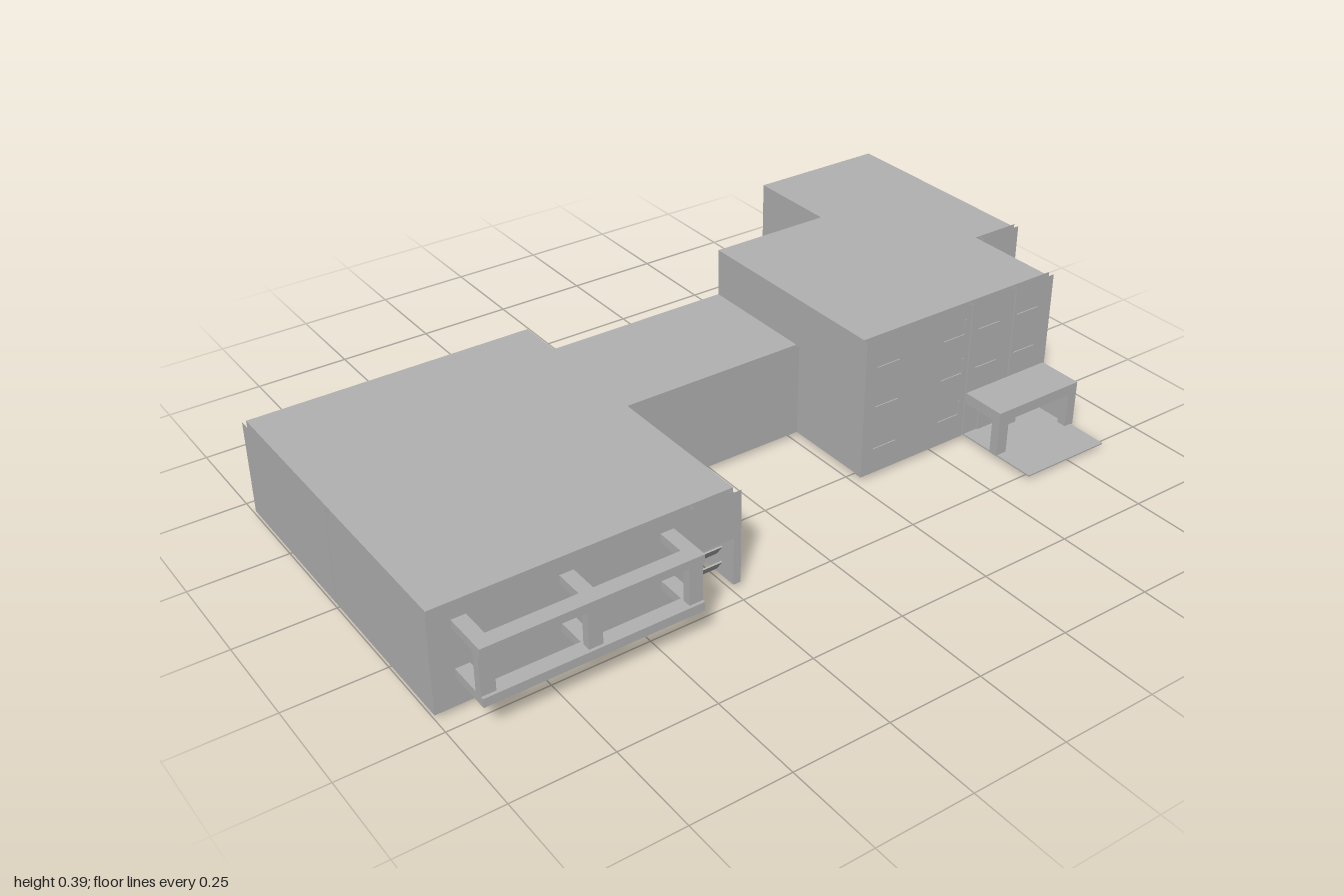
import * as THREE from 'three';

export function createModel() {
  const model = new THREE.Group();
  const grey = new THREE.MeshStandardMaterial({ color: 0xb2b2b2 });
  grey.name = 'concreteGrey';
  grey.side = THREE.DoubleSide;
  const wallGrey = grey.clone();
  wallGrey.name = 'wallGrey';
  wallGrey.side = THREE.FrontSide;

  const add = (name, geometry, material = grey) => {
    const mesh = new THREE.Mesh(geometry, material);
    mesh.name = name;
    model.add(mesh);
    return mesh;
  };
  // Box given by its limits
  const box = (name, x0, x1, y0, y1, z0, z1) => {
    const g = new THREE.BoxGeometry(x1 - x0, y1 - y0, z1 - z0);
    g.translate((x0 + x1) / 2, (y0 + y1) / 2, (z0 + z1) / 2);
    return add(name, g);
  };
  // Wall panel: an upright box without top and bottom
  const panel = (name, x0, x1, y0, y1, z0, z1) => {
    const mesh = box(name, x0, x1, y0, y1, z0, z1);
    const index = Array.from(mesh.geometry.index.array);
    mesh.geometry.setIndex([...index.slice(0, 12), ...index.slice(24)]);
    mesh.material = wallGrey;
    return mesh;
  };
  // Plan outline in [x, z], raised from y0 to y1
  const prism = (name, outline, y0, y1, hole) => {
    const toVec = ([x, z]) => new THREE.Vector2(x, -z);
    const shape = new THREE.Shape(outline.map(toVec));
    if (hole) shape.holes.push(new THREE.Path(hole.map(toVec)));
    const g = new THREE.ExtrudeGeometry(shape, { depth: y1 - y0, bevelEnabled: false });
    g.rotateX(-Math.PI / 2);
    g.translate(0, y0, 0);
    return add(name, g, wallGrey);
  };

  const base = 0.012, low = 0.262, high = 0.39, doorTop = 0.14;

  // Low wing, with a recess at its front inner corner
  prism('lowWingGroundStorey', [[-0.99, -0.44], [-0.235, -0.44], [-0.235, 0.2], [-0.35, 0.2],
    [-0.35, 0.437], [-0.99, 0.437]], base, doorTop);
  box('lowWingUpperStorey', -0.99, -0.235, doorTop, low, -0.44, 0.437);
  panel('lowWingFrontWall', -0.995, -0.35, base, low, 0.437, 0.455);
  panel('wallOverRecess', -0.35, -0.245, doorTop, low, 0.437, 0.455);
  panel('lowWingSideWall', -0.245, -0.225, base, low, 0.02, 0.455);
  panel('lowWingOuterWallFront', -1, -0.99, base, low, 0.003, 0.455);
  panel('lowWingOuterWallBack', -1, -0.99, base, low, -0.44, -0.001);

  // Slanted slats in the recess
  for (let i = 0; i < 3; i++) {
    const slat = box('recessSlat', -0.35, -0.245, -0.018, 0.018, -0.002, 0.002);
    slat.position.set(0, 0.035 + i * 0.042, 0.4);
    slat.rotation.x = 0.6;
  }

  // Low window strip at the back
  box('backWindowSill', -0.95, -0.27, 0.062, 0.066, -0.444, -0.44);
  for (const x of [-0.37, -0.64]) box('backWindowMullion', x - 0.003, x + 0.003, 0.06, 0.115, -0.444, -0.44);

  // Connecting wing
  box('connector', -0.235, 0.27, base, low, -0.313, 0.018);
  panel('connectorFrontWall', -0.235, 0.27, base, low, 0.018, 0.03);

  // Tall wing, with a shaft opening in its underside
  const tall = [[0.268, -0.313], [0.606, -0.313], [0.606, -0.567], [0.985, -0.567],
    [0.985, 0.018], [0.858, 0.018], [0.858, 0.271], [0.268, 0.271]];
  prism('tallWingGroundStorey', tall, base, 0.14,
    [[0.69, -0.35], [0.89, -0.35], [0.89, -0.19], [0.69, -0.19]]);
  prism('tallWingUpperStoreys', tall, 0.14, high);
  box('shaftStep', 0.65, 0.86, 0, base, -0.19, -0.145);
  for (const [x0, x1] of [[0.265, 0.598], [0.602, 0.743], [0.747, 0.874]])
    panel('tallWingFrontWall', x0, x1, base, high, 0.271, 0.287);
  panel('tallWingReturnWall', 0.858, 0.874, base, high, 0.018, 0.271);
  panel('rearWingFrontWall', 0.874, 0.997, base, high, 0.018, 0.033);
  panel('rearWingSideWall', 0.985, 0.997, base, high, -0.567, 0.018);
  box('backWallJoint', 0.459, 0.461, base, high, -0.315, -0.313);

  // Window ledges and jambs of the tall wing
  for (const y of [0.08, 0.2, 0.31]) {
    for (const x of [0.3, 0.51, 0.625, 0.755]) {
      if (y < 0.1 && x > 0.6) continue;
      box('frontWindowLedge', x, x + 0.07, y, y + 0.004, 0.287, 0.29);
    }
    box('frontWindowJamb', 0.577, 0.58, y, y + 0.045, 0.287, 0.29);
    for (const z of [-0.28, -0.195, -0.11, -0.025]) {
      box('sideWindowLedge', 0.997, 1, y, y + 0.004, z - 0.02, z + 0.02);
      box('sideWindowJamb', 0.997, 1, y, y + 0.045, z + 0.017, z + 0.02);
    }
  }

  // Entrance porch
  box('porchFloor', 0.606, 0.862, 0.01, 0.014, 0.271, 0.522);
  box('porchRoof', 0.603, 0.87, 0.107, 0.136, 0.287, 0.41);
  for (const [x0, x1] of [[0.603, 0.635], [0.842, 0.87]])
    box('porchPost', x0, x1, 0.012, 0.107, 0.385, 0.41);
  box('porchSideWall', 0.855, 0.87, 0.012, 0.107, 0.287, 0.385);
  box('porchInnerPost', 0.71, 0.755, 0.012, 0.107, 0.287, 0.32);
  // Entrance door and window bars
  box('entranceDoor', 0.65, 0.7, 0.014, 0.1, 0.287, 0.291);
  box('entranceWindowUpright', 0.798, 0.802, 0.03, 0.107, 0.287, 0.293);
  box('entranceWindowBar', 0.76, 0.84, 0.058, 0.062, 0.287, 0.293);

  // Balcony frame on the low wing
  for (const [y0, y1] of [[0.085, 0.108], [0.211, 0.233]]) {
    box('frameRail', -0.945, -0.405, y0, y1, 0.53, 0.57);
    for (const x of [-0.945, -0.692, -0.44])
      box('frameBracket', x, x + 0.035, y0, y1, 0.44, 0.53);
  }
  for (const x of [-0.945, -0.692, -0.44])
    box('framePost', x, x + 0.035, 0.108, 0.211, 0.54, 0.562);

  return model;
}
